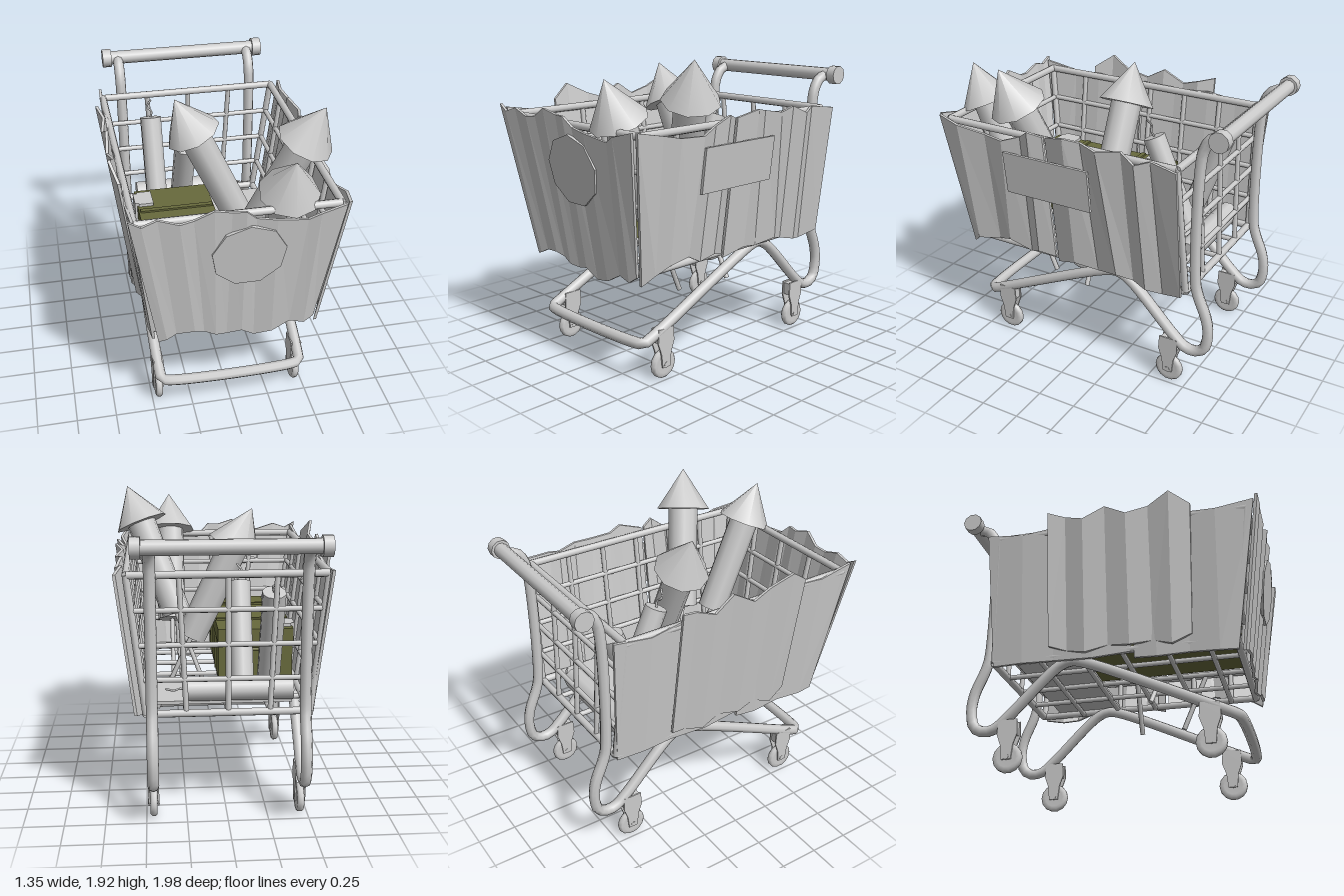
import * as THREE from 'three';

const grey = new THREE.MeshStandardMaterial({ color: 0xcccccc });
const sheetMat = new THREE.MeshStandardMaterial({ color: 0xcccccc, side: THREE.DoubleSide, flatShading: true });
const green = new THREE.MeshStandardMaterial({ color: 0x686a3c });
const V = (x, y, z) => new THREE.Vector3(x, y, z);
const UP = V(0, 1, 0);

function add(parent, name, geo, mat = grey) {
  const m = new THREE.Mesh(geo, mat);
  m.name = name;
  parent.add(m);
  return m;
}

// Round bar from a to b
function rod(parent, name, a, b, r, sides = 8, rEnd = r) {
  const m = add(parent, name, new THREE.CylinderGeometry(rEnd, r, a.distanceTo(b), sides));
  m.position.copy(a).lerp(b, 0.5);
  m.quaternion.setFromUnitVectors(UP, b.clone().sub(a).normalize());
  return m;
}

function box(parent, name, x0, x1, y0, y1, z0, z1, mat = grey) {
  const m = add(parent, name, new THREE.BoxGeometry(x1 - x0, y1 - y0, z1 - z0), mat);
  m.position.set((x0 + x1) / 2, (y0 + y1) / 2, (z0 + z1) / 2);
  return m;
}

// Torn corrugated sheet: each column is [uTop, yTop, uBottom, yBottom]
function sheet(parent, name, cols, place, ripple) {
  const t = 0.018, pos = [], idx = [];
  cols.forEach(([ut, yt, ub, yb], i) => {
    const w = i % 2 ? ripple : -ripple;
    for (const [u, y, d] of [[ut, yt, w], [ub, yb, w], [ub, yb, w - t], [ut, yt, w - t]])
      pos.push(...place(u, y, d).toArray());
  });
  for (let i = 0; i < cols.length - 1; i++)
    for (let k = 0; k < 4; k++) {
      const a = i * 4 + k, b = i * 4 + (k + 1) % 4;
      idx.push(a, b, b + 4, a, b + 4, a + 4);
    }
  const e = (cols.length - 1) * 4;
  idx.push(0, 2, 1, 0, 3, 2, e, e + 1, e + 2, e, e + 2, e + 3);
  const g = new THREE.BufferGeometry();
  g.setAttribute('position', new THREE.Float32BufferAttribute(pos, 3));
  g.setIndex(idx);
  g.computeVertexNormals();
  return add(parent, name, g, sheetMat);
}

function makeFrame(root) {
  // One bent tube: handle post, rear foot, basket support, front bar, mirrored
  const side = [[-.93, 1.73], [-.86, 1.71], [-.81, 1.64], [-.79, 1.52], [-.79, .76], [-.81, .68], [-.87, .53],
    [-.885, .42], [-.86, .31], [-.8, .275], [-.73, .285], [-.65, .35], [-.33, .66], [-.25, .69], [-.16, .67], [.68, .29]]
    .map(([z, y]) => V(.455, y, z));
  side.push(V(.445, .262, .745), V(.4, .26, .765));
  const path = [...side, ...side.map(p => V(-p.x, p.y, p.z)).reverse()];
  add(root, 'frameTube', new THREE.TubeGeometry(new THREE.CatmullRomCurve3(path, false, 'centripetal'), 180, .035, 8));

  rod(root, 'handleBar', V(-.52, 1.735, -.935), V(.52, 1.735, -.935), .045, 10);
  for (const s of [-1, 1]) rod(root, 'handleCap', V(s * .5, 1.735, -.935), V(s * .56, 1.735, -.935), .062, 10);

  // Casters
  const fork = new THREE.Shape([[-.03, .08], [.03, .08], [.04, .17], [.065, .24], [.06, .33], [-.06, .33], [-.065, .24], [-.04, .17]]
    .map(p => new THREE.Vector2(...p)));
  for (const x of [-.455, .455]) for (const z of [.6, -.63]) {
    const c = new THREE.Group();
    c.name = 'caster';
    c.position.set(x, 0, z);
    root.add(c);
    const tyre = add(c, 'wheel', new THREE.LatheGeometry([[0, -.02], [.06, -.02], [.08, -.022], [.092, -.01],
      [.092, .01], [.08, .022], [.06, .02], [0, .02]].map(p => new THREE.Vector2(...p)), 14));
    tyre.rotation.z = Math.PI / 2;
    tyre.position.y = .096;
    rod(c, 'axle', V(-.036, .096, 0), V(.036, .096, 0), .018);
    for (const s of [-1, 1]) {
      const f = add(c, 'forkPlate', new THREE.ExtrudeGeometry(fork, { depth: .01, bevelEnabled: false }));
      f.rotation.y = Math.PI / 2;
      f.position.x = s * .029 - .005;
    }
    box(c, 'forkTop', -.03, .03, .24, .32, -.055, .055);
  }
}

function makeBasket(root) {
  const g = new THREE.Group();
  g.name = 'basket';
  root.add(g);
  const hx = t => .49 + .1 * t, zf = t => .78 + .11 * t, zb = t => -.74 + .03 * t, y = t => .71 + .83 * t;
  // Horizontal rings
  for (let i = 0; i < 5; i++) {
    const t = i / 4, r = i % 4 ? .017 : .024;
    const c = [V(hx(t), y(t), zf(t)), V(-hx(t), y(t), zf(t)), V(-hx(t), y(t), zb(t)), V(hx(t), y(t), zb(t))];
    c.forEach((p, k) => rod(g, 'basketRing', p, c[(k + 1) % 4], r));
  }
  // Corner posts, side wires and floor cross wires
  for (const s of [-1, 1]) {
    for (const z of [zf, zb]) rod(g, 'cornerPost', V(s * hx(0), y(0), z(0)), V(s * hx(1), y(1), z(1)), .022);
    for (const z of [-.44, -.18, .08, .35, .61]) rod(g, 'sideWire', V(s * hx(0), y(0), z), V(s * hx(1), y(1), z), .017);
  }
  for (const z of [-.44, -.18, .08, .35, .61]) rod(g, 'floorWire', V(-hx(0), .7, z), V(hx(0), .7, z), .017);
  for (const x of [-.25, 0, .25]) {
    rod(g, 'floorWire', V(x, .71, zb(0)), V(x, .71, zf(0)), .017);
    for (const z of [zf, zb]) rod(g, 'endWire', V(x, y(0), z(0)), V(x * 1.15, y(1), z(1)), .017);
  }
  box(g, 'floorPlate', -.4, .49, .725, .745, -.62, -.18);
}

function makePanels(root) {
  const front = (u, y, w) => V(u, y, .835 + .145 * (y - .65) + w);
  const right = (u, y, w) => V(.535 + .125 * (y - .65) + w, y, u);
  const left = (u, y, w) => V(-.51 - .115 * (y - .65) - w, y, u);
  const patch = (u, y, w) => V(-.525 - .13 * (y - .65) - w, y, u);

  sheet(root, 'frontPanel', [[-.63, 1.61, -.47, .64], [-.56, 1.57, -.42, .66], [-.47, 1.6, -.36, .69], [-.35, 1.56, -.25, .7],
    [-.27, 1.57, -.19, .68], [-.16, 1.63, -.12, .65], [-.06, 1.6, -.05, .64], [.02, 1.6, .04, .66], [.08, 1.54, .12, .6],
    [.2, 1.52, .23, .62], [.38, 1.49, .34, .68], [.45, 1.53, .43, .66], [.6, 1.57, .49, .7]], front, .006);
  sheet(root, 'leftFrontPanel', [[.94, 1.57, .82, .65], [.78, 1.54, .75, .71], [.6, 1.5, .6, .73], [.45, 1.5, .49, .77],
    [.33, 1.54, .35, .7], [.25, 1.6, .27, .74], [.165, 1.57, .165, .71]], right, .018);
  sheet(root, 'leftRearPanel', [[.145, 1.57, .145, .68], [0, 1.61, 0, .73], [-.1, 1.59, -.15, .7], [-.22, 1.57, -.3, .73],
    [-.37, 1.59, -.4, .7], [-.47, 1.54, -.5, .68], [-.56, 1.57, -.6, .66], [-.74, 1.55, -.74, .7]], right, .018);
  sheet(root, 'rightFrontPanel', [[.94, 1.59, .79, .64], [.7, 1.55, .68, .64], [.5, 1.56, .5, .65], [.3, 1.53, .3, .64],
    [.16, 1.56, .16, .65]], left, .006);
  sheet(root, 'rightRearPanel', [[.14, 1.56, .14, .69], [-.1, 1.54, -.1, .67], [-.35, 1.57, -.35, .68], [-.55, 1.54, -.55, .68],
    [-.79, 1.57, -.74, .68]], left, .006);
  sheet(root, 'rightPatchPanel', [[.55, 1.6, .52, .76], [.42, 1.69, .4, .7], [.28, 1.62, .28, .74], [.14, 1.58, .14, .72],
    [0, 1.66, 0, .74], [-.14, 1.58, -.14, .7], [-.26, 1.62, -.26, .73], [-.37, 1.65, -.37, .76]], patch, .014);

  // Plain plates fixed to the outside
  sheet(root, 'sidePlate', [[.44, 1.43, .44, 1.15], [-.16, 1.43, -.16, 1.15]], (u, y, w) => right(u, y, w + .03), 0);
  const disc = add(root, 'frontDisc', new THREE.CylinderGeometry(.22, .22, .02, 9), sheetMat);
  disc.position.copy(front(.05, 1.28, .004));
  disc.rotation.x = Math.PI / 2 + Math.atan(.145);
  disc.rotateY(Math.PI);
}

// Rocket from the end of its stick to its tip
function rocket(root, end, tip) {
  const g = new THREE.Group();
  g.name = 'rocket';
  root.add(g);
  const d = tip.clone().sub(end).normalize(), at = s => tip.clone().addScaledVector(d, -s);
  rod(g, 'rocketNose', at(.27), tip, .18, 9, 0);
  rod(g, 'rocketBody', at(.93), at(.26), .1, 9);
  rod(g, 'rocketStick', end, at(.9), .017, 6);
}

// Paper-wrapped stick with a crooked fuse at its far end
function charge(root, a, b) {
  const g = new THREE.Group();
  g.name = 'fusedStick';
  root.add(g);
  rod(g, 'stickBody', a, b, .073, 10);
  const d = b.clone().sub(a).normalize();
  const side = Math.abs(d.x) > .5 ? V(0, 0, 1) : V(1, 0, 0);
  const pts = [[0, 0], [.04, .01], [.07, -.02], [.12, .012]].map(([s, o]) => b.clone().addScaledVector(d, s).addScaledVector(side, o));
  add(g, 'fuse', new THREE.TubeGeometry(new THREE.CatmullRomCurve3(pts), 10, .007, 5));
}

function makeCrate(root) {
  const g = new THREE.Group();
  g.name = 'crate';
  root.add(g);
  box(g, 'crateBody', -.46, .02, .74, .98, -.2, .77, green);
  box(g, 'crateLid', -.465, .025, .985, 1.08, -.205, .775, green);
  for (const z of [.055, .51]) {
    box(g, 'lidStrap', -.455, .018, 1.07, 1.092, z - .016, z + .016, green);
    box(g, 'bodyStrap', -.47, .03, .75, .97, z - .016, z + .016, green);
  }
  for (const z of [-.08, .655]) {
    box(g, 'latchTop', -.455, -.36, 1.07, 1.1, z - .075, z + .075);
    box(g, 'latchFront', -.48, -.45, .93, 1.1, z - .06, z + .06);
  }
  // Carrying handles at both ends
  for (const [z, s] of [[-.2, -1], [.77, 1]]) {
    rod(g, 'crateHandle', V(-.36, .95, z + s * .03), V(-.08, .95, z + s * .03), .012).material = green;
    for (const x of [-.35, -.09]) box(g, 'handleMount', x - .02, x + .02, .91, .97, z - .03, z + .03, green);
  }
}

export function createModel() {
  const root = new THREE.Group();
  root.name = 'armouredCart';
  makeFrame(root);
  makeBasket(root);
  makePanels(root);
  makeCrate(root);
  rocket(root, V(.09, .59, .13), V(.6, 1.93, .48));
  rocket(root, V(.3, .46, .31), V(.31, 1.83, .9));
  rocket(root, V(.42, .49, 0), V(-.21, 1.83, 0));
  charge(root, V(-.4, .82, -.62), V(.25, .82, -.62));
  charge(root, V(-.28, .82, -.4), V(-.28, 1.41, -.62));
  charge(root, V(-.11, .8, -.46), V(-.11, 1.39, -.2));
  return root;
}
